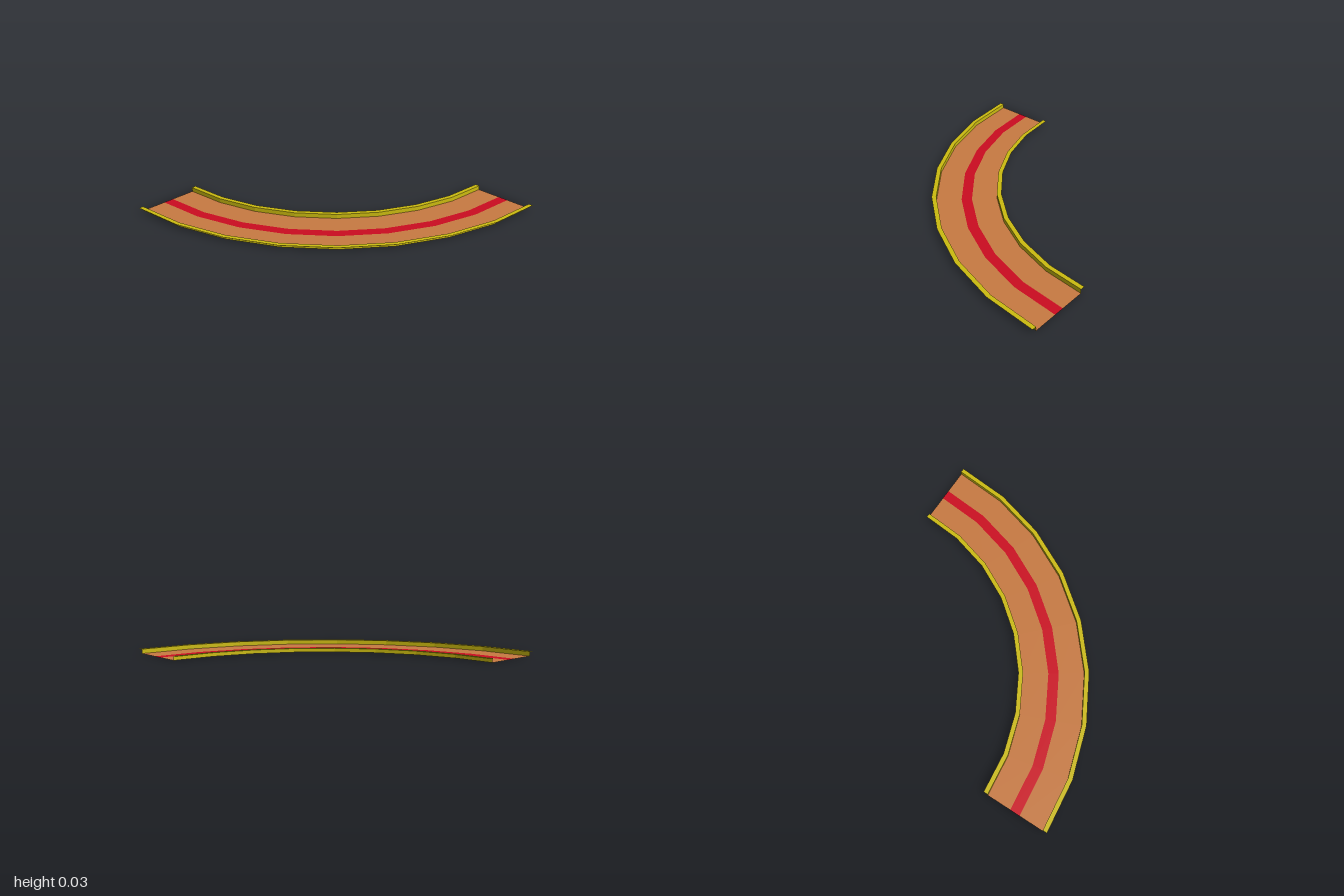
import * as THREE from 'three';

const SEGMENTS = 8;

// Sweeps a (radius, height) profile through the quarter turn
function sweep(name, color, profile) {
  const points = profile.map(([r, y]) => new THREE.Vector2(r, y));
  const geometry = new THREE.LatheGeometry(points, SEGMENTS, -Math.PI / 2, Math.PI / 2);
  const material = new THREE.MeshStandardMaterial({ color, flatShading: true, side: THREE.DoubleSide });
  const mesh = new THREE.Mesh(geometry, material);
  mesh.name = name;
  return mesh;
}

export function createModel() {
  const road = 0xc87a42, red = 0xcc0c20, yellow = 0xccbb10;
  const inner = 1.5, outer = 2, lip = 0.033, height = 0.032;
  const stripeInner = 1.713, stripeOuter = 1.787;

  const group = new THREE.Group();
  group.name = 'curvedTrack';
  group.add(
    // Flat road on both sides of the centre stripe
    sweep('outerLane', road, [[outer - lip, 0], [stripeOuter, 0]]),
    sweep('centreStripe', red, [[stripeOuter, 0], [stripeInner, 0]]),
    sweep('innerLane', road, [[stripeInner, 0], [inner + lip, 0]]),
    // Upright curbs with a lip turned away from the road
    sweep('outerRail', yellow, [[outer, height], [outer - lip, height], [outer - lip, 0]]),
    sweep('innerRail', yellow, [[inner + lip, 0], [inner + lip, height], [inner, height]])
  );

  // The turn is centred on the back left corner
  group.children.forEach((part) => part.position.set(1, 0, -1));
  return group;
}
